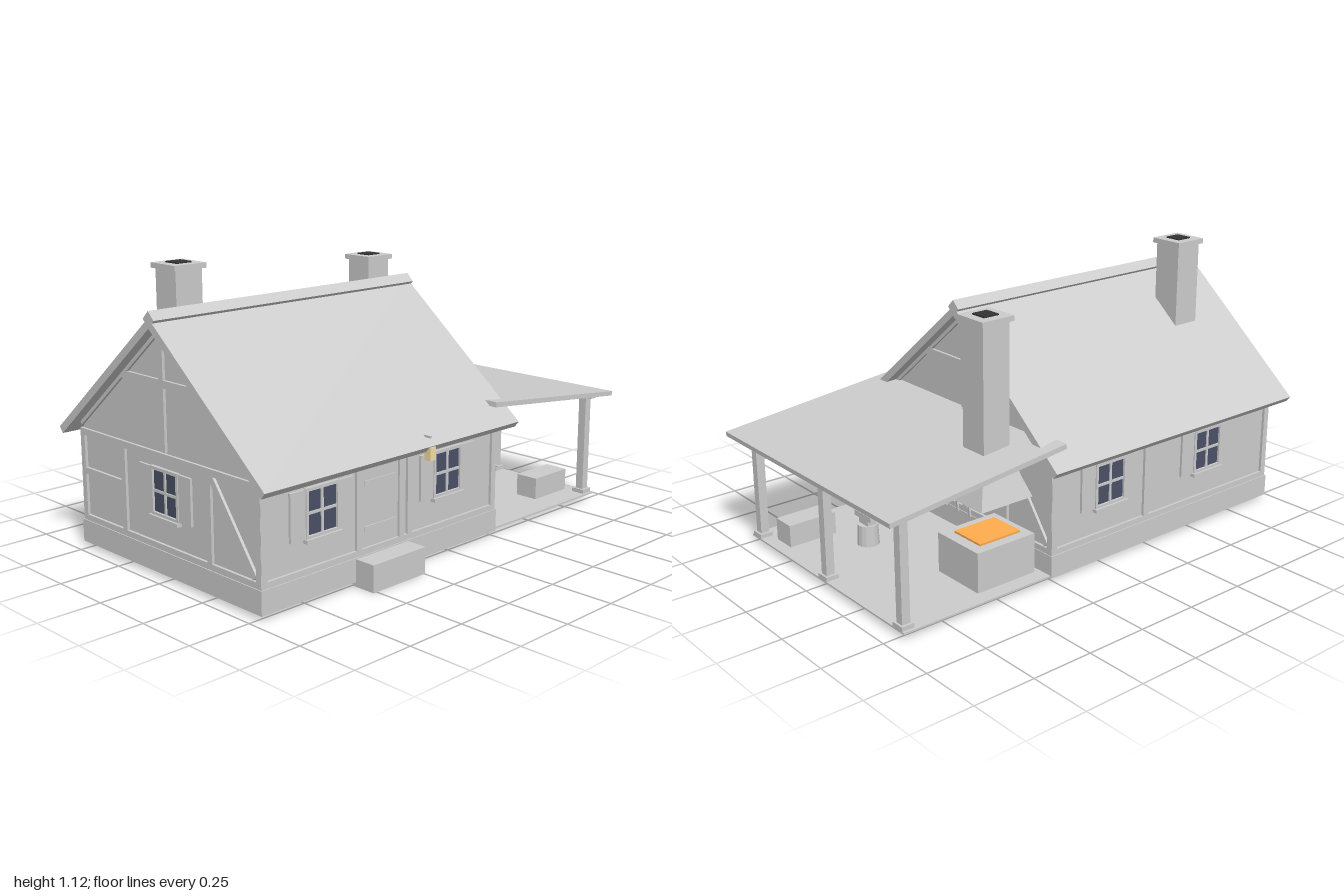
import * as THREE from 'three';

const mat = (color) => new THREE.MeshStandardMaterial({ color, flatShading: true });
const GREY = mat(0xcccccc);
const GLASS = mat(0x4a5066);
const DARK = mat(0x333333);
const EMBER = mat(0xffac4d);
const GLOW = mat(0xf7dea4);
const HOOD = mat(0xcccccc);
HOOD.side = THREE.DoubleSide;

function add(parent, name, geometry, material = GREY) {
  const mesh = new THREE.Mesh(geometry, material);
  mesh.name = name;
  parent.add(mesh);
  return mesh;
}

function group(parent, name, x = 0, y = 0, z = 0) {
  const g = new THREE.Group();
  g.name = name;
  g.position.set(x, y, z);
  parent.add(g);
  return g;
}

// Box given by its limits on each axis
function box(parent, name, [x0, x1], [y0, y1], [z0, z1], material) {
  const mesh = add(parent, name, new THREE.BoxGeometry(x1 - x0, y1 - y0, z1 - z0), material);
  mesh.position.set((x0 + x1) / 2, (y0 + y1) / 2, (z0 + z1) / 2);
}

// Timber lying on a wall face, from (x0, y0) to (x1, y1)
function strut(face, name, x0, y0, x1, y1, width = 0.026, depth = 0.011) {
  const length = Math.hypot(x1 - x0, y1 - y0);
  const mesh = add(face, name, new THREE.BoxGeometry(length, width, depth));
  mesh.position.set((x0 + x1) / 2, (y0 + y1) / 2, depth / 2);
  mesh.rotation.z = Math.atan2(y1 - y0, x1 - x0);
}

// Extrusion of a cross-section, centred along its depth
function prism(points, depth) {
  const shape = new THREE.Shape(points.map(([x, y]) => new THREE.Vector2(x, y)));
  return new THREE.ExtrudeGeometry(shape, { depth, bevelEnabled: false }).translate(0, 0, -depth / 2);
}

// Four-pane window with frame, shutters and sill
function addWindow(face, x) {
  const w = group(face, 'window', x, 0.326, 0);
  box(w, 'glass', [-0.072, 0.072], [-0.085, 0.085], [0, 0.004], GLASS);
  for (const s of [-1, 1]) {
    strut(w, 'frameSide', s * 0.074, -0.09, s * 0.074, 0.09, 0.012, 0.013);
    strut(w, 'frameRail', -0.08, s * 0.086, 0.08, s * 0.086, 0.012, 0.013);
    box(w, 'shutter', s < 0 ? [-0.15, -0.081] : [0.081, 0.15], [-0.089, 0.089], [0, 0.01]);
  }
  strut(w, 'mullion', 0, -0.085, 0, 0.085, 0.01, 0.009);
  strut(w, 'glazingBar', -0.07, 0, 0.07, 0, 0.01, 0.009);
  box(w, 'sill', [-0.085, 0.085], [-0.104, -0.09], [0, 0.022]);
}

// Sill beam, top plate and corner posts of one wall
function addFrame(face, half) {
  strut(face, 'sillBeam', -half, 0.118, half, 0.118);
  strut(face, 'topPlate', -half, 0.462, half, 0.462);
  for (const s of [-1, 1]) strut(face, 'cornerPost', s * (half - 0.013), 0.106, s * (half - 0.013), 0.475);
}
const post = (face, x) => strut(face, 'wallPost', x, 0.13, x, 0.46);

const CX = -0.348, CZ = -0.008; // house centre
const HX = 0.598, HZ = 0.513; // half sizes of the walls
const SLOPE = 0.832, PEAK = 0.931; // underside of the roof
const roofY = (z) => PEAK - SLOPE * Math.abs(z);

function buildHouse(model) {
  const house = group(model, 'house', CX, 0, CZ);
  box(house, 'foundation', [-0.613, 0.612], [0.018, 0.108], [-0.528, 0.528]);
  const walls = add(house, 'walls', prism(
    [[-HZ, 0.1], [HZ, 0.1], [HZ, roofY(HZ)], [0, PEAK], [-HZ, roofY(HZ)]], HX * 2));
  walls.rotation.y = -Math.PI / 2;

  // Gabled roof and ridge cap
  const roof = add(house, 'roof', prism(
    [[-0.579, 0.449], [0, PEAK], [0.579, 0.449], [0.598, 0.472], [0, 0.969], [-0.598, 0.472]], 1.304));
  roof.rotation.y = -Math.PI / 2;
  const ridge = add(house, 'ridgeCap', new THREE.BoxGeometry(1.304, 0.044, 0.044));
  ridge.position.y = 0.962;
  ridge.rotation.x = Math.PI / 4;

  const [front, right, back, left] = ['frontWall', 'rightWall', 'backWall', 'leftWall'].map((name, i) => {
    const angle = i * Math.PI / 2, d = i % 2 ? HX : HZ;
    const face = group(house, name, Math.sin(angle) * d, 0, Math.cos(angle) * d);
    face.rotation.y = angle;
    addFrame(face, i % 2 ? HZ + 0.01 : HX + 0.01);
    return face;
  });

  // Front: two windows and a door
  for (const x of [-0.673, -0.024]) addWindow(front, x - CX);
  for (const x of [-0.496, -0.277, -0.233]) post(front, x - CX);
  box(front, 'door', [-0.135, 0.058], [0.115, 0.455], [0, 0.002]);
  for (const y of [0.2, 0.37]) box(front, 'doorBatten', [-0.115, 0.045], [y - 0.01, y + 0.01], [0, 0.006]);

  // Back: two windows
  for (const x of [-0.583, -0.04]) addWindow(back, CX - x);
  post(back, CX + 0.235);

  // Gable ends
  for (const face of [right, left]) {
    strut(face, 'kingPost', 0, 0.48, 0, 0.92);
    strut(face, 'collarBeam', -0.235, 0.729, 0.235, 0.729, 0.029);
    for (const s of [-1, 1]) {
      strut(face, 'rafter', s * 0.52, roofY(0.52) - 0.001, 0, PEAK - 0.001);
      post(face, s * 0.25);
    }
    strut(face, 'middleRail', -0.51, 0.308, -0.25, 0.308);
    strut(face, 'brace', 0.26, 0.45, 0.49, 0.14);
  }
  addWindow(left, 0);
  post(right, 0);
  strut(right, 'brace', -0.22, 0.45, -0.02, 0.15);
  strut(right, 'brace', 0.23, 0.45, 0.02, 0.14);

  box(model, 'doorStep', [-0.517, -0.247], [0, 0.104], [0.505, 0.607]);
}

function buildChimney(model, name, x, z, bottom, top) {
  const c = group(model, name, x, 0, z);
  box(c, 'shaft', [-0.06, 0.06], [bottom, top], [-0.06, 0.06]);
  box(c, 'chimneyCap', [-0.072, 0.072], [top, top + 0.02], [-0.072, 0.072]);
  box(c, 'flue', [-0.034, 0.034], [top + 0.01, top + 0.025], [-0.034, 0.034], DARK);
}

function buildLantern(model) {
  const l = group(model, 'lantern', -0.195, 0, 0);
  box(l, 'lanternArm', [-0.004, 0.004], [0.5, 0.508], [0.5, 0.582]);
  box(l, 'lanternBody', [-0.015, 0.015], [0.418, 0.468], [0.564, 0.592], GLOW);
}

function buildWorkshop(model) {
  const shop = group(model, 'workshop', 0.004, -0.003);
  box(shop, 'floor', [0.25, 0.929], [0.024, 0.031], [-0.53, 0.511]);

  // Lean-to roof on a beam and three posts
  const roof = add(shop, 'leanToRoof', prism(
    [[0.214, 0.539], [0.994, 0.455], [0.996, 0.474], [0.216, 0.559]], 1.107));
  roof.position.z = -0.008;
  box(shop, 'roofBeam', [0.885, 0.92], [0.453, 0.468], [-0.532, 0.517]);
  for (const z of [0.473, -0.008, -0.489]) {
    box(shop, 'roofPost', [0.885, 0.92], [0.03, 0.46], [z - 0.017, z + 0.017]);
    box(shop, 'postBase', [0.875, 0.929], [0.03, 0.048], [z - 0.028, z + 0.028]);
  }

  // Forge with smoke hood
  box(shop, 'forge', [0.285, 0.555], [0.03, 0.191], [-0.467, -0.23]);
  box(shop, 'forgeCoals', [0.32, 0.51], [0.185, 0.199], [-0.425, -0.272], EMBER);
  box(shop, 'forgeMouth', [0.35, 0.483], [0.077, 0.152], [-0.24, -0.227], EMBER);
  const hood = add(shop, 'smokeHood', new THREE.CylinderGeometry(
    0.06 * Math.SQRT2, 0.12 * Math.SQRT2, 0.163, 4, 1, true).rotateY(Math.PI / 4), HOOD);
  hood.position.set(0.416, 0.425, -0.348);

  // Anvil on its stump
  const anvil = group(shop, 'anvil', 0.62, 0, 0.145);
  add(anvil, 'stump', new THREE.CylinderGeometry(0.041, 0.045, 0.085, 16)).position.y = 0.073;
  box(anvil, 'anvilWaist', [-0.02, 0.02], [0.115, 0.142], [-0.03, 0.03]);
  box(anvil, 'anvilFace', [-0.024, 0.024], [0.139, 0.162], [-0.055, 0.055]);
  const horn = add(anvil, 'anvilHorn', new THREE.ConeGeometry(0.013, 0.042, 8).rotateX(Math.PI / 2));
  horn.position.set(0, 0.152, 0.075);

  box(shop, 'trough', [0.67, 0.878], [0.03, 0.122], [0.303, 0.403]);

  // Tool rack leaning out from the house wall
  const rack = group(shop, 'toolRack');
  box(rack, 'rackBar', [0.258, 0.278], [0.218, 0.233], [-0.093, 0.283]);
  for (let i = 0; i < 5; i++) {
    const tool = group(rack, 'tool', 0.281, 0.204, 0.25 - i * 0.0775);
    tool.rotation.z = -0.1;
    box(tool, 'toolHandle', [-0.004, 0.004], [-0.093, 0.09], [-0.005, 0.005]);
    box(tool, 'toolHead', [-0.006, 0.006], [0.084, 0.093], [-0.018, 0.018]);
  }
}

export function createModel() {
  const model = new THREE.Group();
  model.name = 'cottageWithForge';
  buildHouse(model);
  buildChimney(model, 'houseChimney', -0.723, -0.193, 0.7, 1.097);
  buildChimney(model, 'forgeChimney', 0.42, -0.348, 0.503, 1.01);
  buildLantern(model);
  buildWorkshop(model);
  return model;
}
